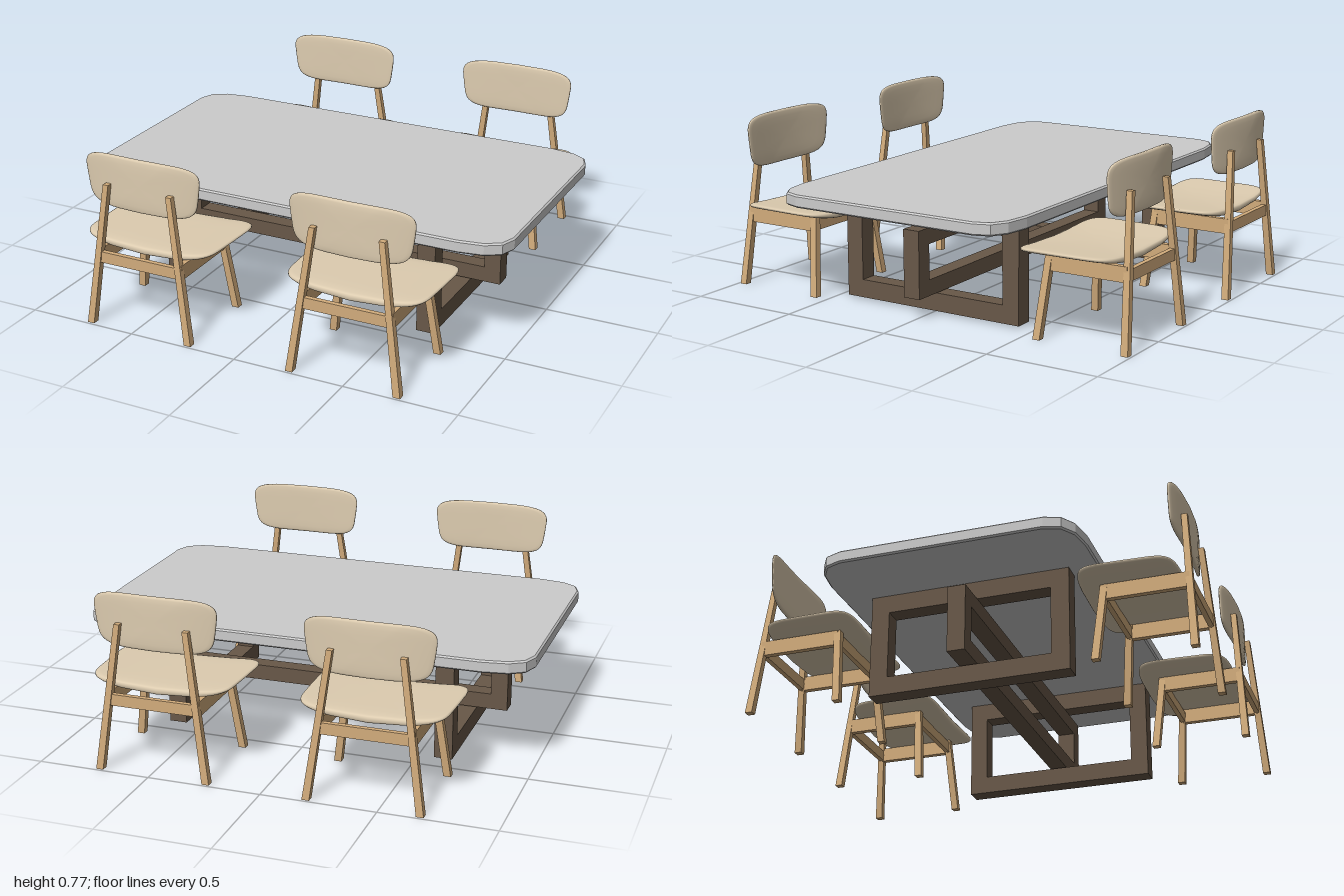
import * as THREE from 'three';
import { mergeVertices } from 'three/addons/utils/BufferGeometryUtils.js';

const mat = (color) => new THREE.MeshStandardMaterial({ color });
const stone = mat(0xcccccc);
stone.flatShading = true;
const darkWood = mat(0x685848);
const lightWood = mat(0xd2ac7c);
const fabric = mat(0xddccb0);

function add(parent, name, geometry, material) {
  const mesh = new THREE.Mesh(geometry, material);
  mesh.name = name;
  parent.add(mesh);
  return mesh;
}

// Square beam from a to b, sheared so both ends stay level
function beam(a, b, w, taper = 1) {
  const g = new THREE.BoxGeometry(w, 1, w);
  const p = g.attributes.position;
  for (let i = 0; i < p.count; i++) {
    const t = p.getY(i) + 0.5;
    const s = 1 + (taper - 1) * t;
    p.setXYZ(i,
      p.getX(i) * s + a[0] + (b[0] - a[0]) * t,
      a[1] + (b[1] - a[1]) * t,
      p.getZ(i) * s + a[2] + (b[2] - a[2]) * t);
  }
  g.computeVertexNormals();
  return g;
}

// Rectangular open frame standing in the xy plane, centred in depth
function openFrame(halfW, y0, y1, barX, barY, depth) {
  const rect = (C, w, lo, hi) => {
    const c = new C();
    c.moveTo(-w, lo); c.lineTo(w, lo); c.lineTo(w, hi); c.lineTo(-w, hi); c.closePath();
    return c;
  };
  const shape = rect(THREE.Shape, halfW, y0, y1);
  shape.holes.push(rect(THREE.Path, halfW - barX, y0 + barY, y1 - barY));
  return new THREE.ExtrudeGeometry(shape, { depth, bevelEnabled: false }).translate(0, 0, -depth / 2);
}

// Soft pad: a turned lens with a squared outline; place(u, thickness, v) bends it
function pad(squareness, place) {
  const profile = [[0, -1], [0.25, -1], [0.5, -1], [0.75, -0.97], [0.92, -0.85], [0.98, -0.65], [1, -0.3],
    [1, 0.3], [0.98, 0.65], [0.92, 0.85], [0.75, 0.97], [0.5, 1], [0.25, 1], [0, 1]]
    .map(([r, t]) => new THREE.Vector2(r, t));
  const g = new THREE.LatheGeometry(profile, 48);
  const p = g.attributes.position;
  const squared = (c) => Math.sign(c) * Math.pow(Math.abs(c), squareness);
  for (let i = 0; i < p.count; i++) {
    const x = p.getX(i), z = p.getZ(i), r = Math.hypot(x, z);
    const u = r > 1e-6 ? r * squared(x / r) : 0;
    const v = r > 1e-6 ? r * squared(z / r) : 0;
    p.setXYZ(i, ...place(u, p.getY(i), v));
  }
  g.deleteAttribute('normal');
  g.deleteAttribute('uv');
  const merged = mergeVertices(g, 1e-5);
  merged.computeVertexNormals();
  return merged;
}

function createTable() {
  const table = new THREE.Group();
  table.name = 'table';

  // Top with faceted corners and a fine bevel
  const corner = [[1, 0.44], [0.975, 0.51], [0.91, 0.55], [0.8, 0.567]];
  const back = [...corner].reverse();
  const outline = [
    ...corner,
    ...back.map(([x, z]) => [-x, z]),
    ...corner.map(([x, z]) => [-x, -z]),
    ...back.map(([x, z]) => [x, -z]),
  ].map(([x, z]) => new THREE.Vector2(x, z));
  const bevel = 0.007;
  const top = new THREE.ExtrudeGeometry(new THREE.Shape(outline), {
    depth: 0.055 - 2 * bevel, bevelSize: bevel, bevelOffset: -bevel, bevelThickness: bevel, bevelSegments: 1,
  });
  top.rotateX(-Math.PI / 2).translate(0, 0.47 + bevel, 0.004);
  add(table, 'tableTop', top, stone);

  // Two end frames crossed by one long frame
  for (const side of [-1, 1]) {
    const end = add(table, 'endFrame', openFrame(0.44, 0.01, 0.47, 0.08, 0.08, 0.08), darkWood);
    end.rotation.y = Math.PI / 2;
    end.position.set(side * 0.615, 0, 0.006);
  }
  add(table, 'longFrame', openFrame(0.795, 0.095, 0.39, 0.075, 0.07, 0.078), darkWood).position.z = 0.005;
  return table;
}

// Chair at +z, facing the table (towards -z)
function createChair() {
  const chair = new THREE.Group();
  chair.name = 'chair';

  for (const s of [-1, 1]) {
    add(chair, 'backLeg', beam([s * 0.241, 0, 0.974], [s * 0.152, 0.643, 0.937], 0.032, 0.8), lightWood);
    add(chair, 'frontLeg', beam([s * 0.241, 0, 0.57], [s * 0.193, 0.35, 0.6], 0.032, 0.95), lightWood);
    // Side rail
    const rail = new THREE.BoxGeometry(0.026, 0.066, 0.36);
    add(chair, 'sideRail', rail, lightWood).position.set(s * 0.197, 0.317, 0.777);
  }
  for (const [name, z] of [['backRail', 0.954], ['frontRail', 0.6]]) {
    add(chair, name, new THREE.BoxGeometry(0.4, 0.05, 0.022), lightWood).position.set(0, 0.313, z);
  }

  // Seat dished across its width, thinner towards the sides
  add(chair, 'seat', pad(0.32, (u, t, v) => [
    u * 0.316 * (1 - 0.02 * v),
    0.356 + 0.03 * u * u + t * (0.021 - 0.011 * u * u),
    0.707 + 0.212 * v,
  ]), fabric);

  // Backrest wrapping forward at the sides, wider at the top
  add(chair, 'backrest', pad(0.42, (u, t, v) => [
    u * (0.268 - 0.016 * v),
    0.653 - 0.118 * v,
    0.92 - 0.022 * u * u + t * (0.013 - 0.005 * u * u),
  ]), fabric);
  return chair;
}

export function createModel() {
  const model = new THREE.Group();
  model.name = 'diningSet';
  model.add(createTable());

  // Two chairs on each long side
  for (const [x, turned] of [[-0.472, false], [0.491, false], [-0.434, true], [0.487, true]]) {
    const chair = createChair();
    chair.position.x = x;
    if (turned) chair.rotation.y = Math.PI;
    model.add(chair);
  }
  return model;
}
